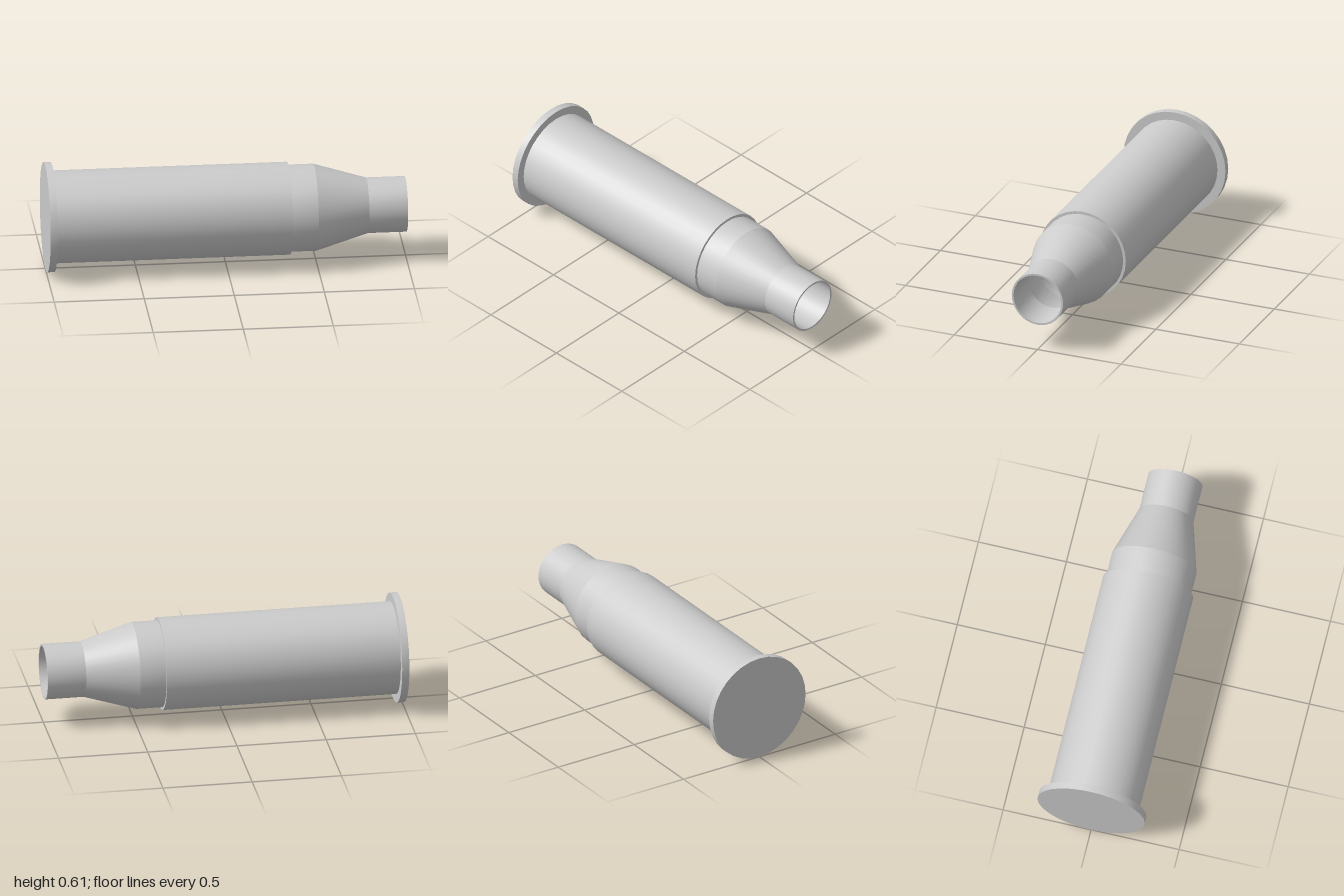
import * as THREE from 'three';
import { toCreasedNormals } from 'three/addons/utils/BufferGeometryUtils.js';

const SIDES = 32;
const AXIS_Y = 0.305;
const material = new THREE.MeshStandardMaterial({ color: 0xcccccc });

// Revolves [x, radius] pairs around the long axis, which lies along x
function turned(name, profile) {
  const points = profile.map(([x, r]) => new THREE.Vector2(r, x));
  const lathe = new THREE.LatheGeometry(points, SIDES);
  lathe.rotateZ(-Math.PI / 2);
  const mesh = new THREE.Mesh(toCreasedNormals(lathe, 0.24), material);
  mesh.name = name;
  mesh.position.y = AXIS_Y;
  return mesh;
}

export function createModel() {
  const group = new THREE.Group();
  group.name = 'cartridgeCase';

  // Flanged base disc, closed at the back
  group.add(turned('baseRim', [[-1, 0], [-1, 0.305], [-0.96, 0.305], [-0.96, 0.25]]));

  // Long straight body with a small step at its front end
  group.add(turned('body', [[-0.96, 0.257], [0.35, 0.257], [0.35, 0.235]]));

  // Collar, sloping shoulder and neck, open at the mouth
  group.add(turned('shoulderAndNeck', [
    [0.35, 0.241], [0.495, 0.241], [0.785, 0.154], [1, 0.154], [1, 0.143],
  ]));

  // Hollow inside, running from the mouth back to the floor
  group.add(turned('innerWall', [
    [1, 0.143], [0.785, 0.143], [0.495, 0.23], [-0.95, 0.23], [-0.95, 0],
  ]));

  return group;
}
